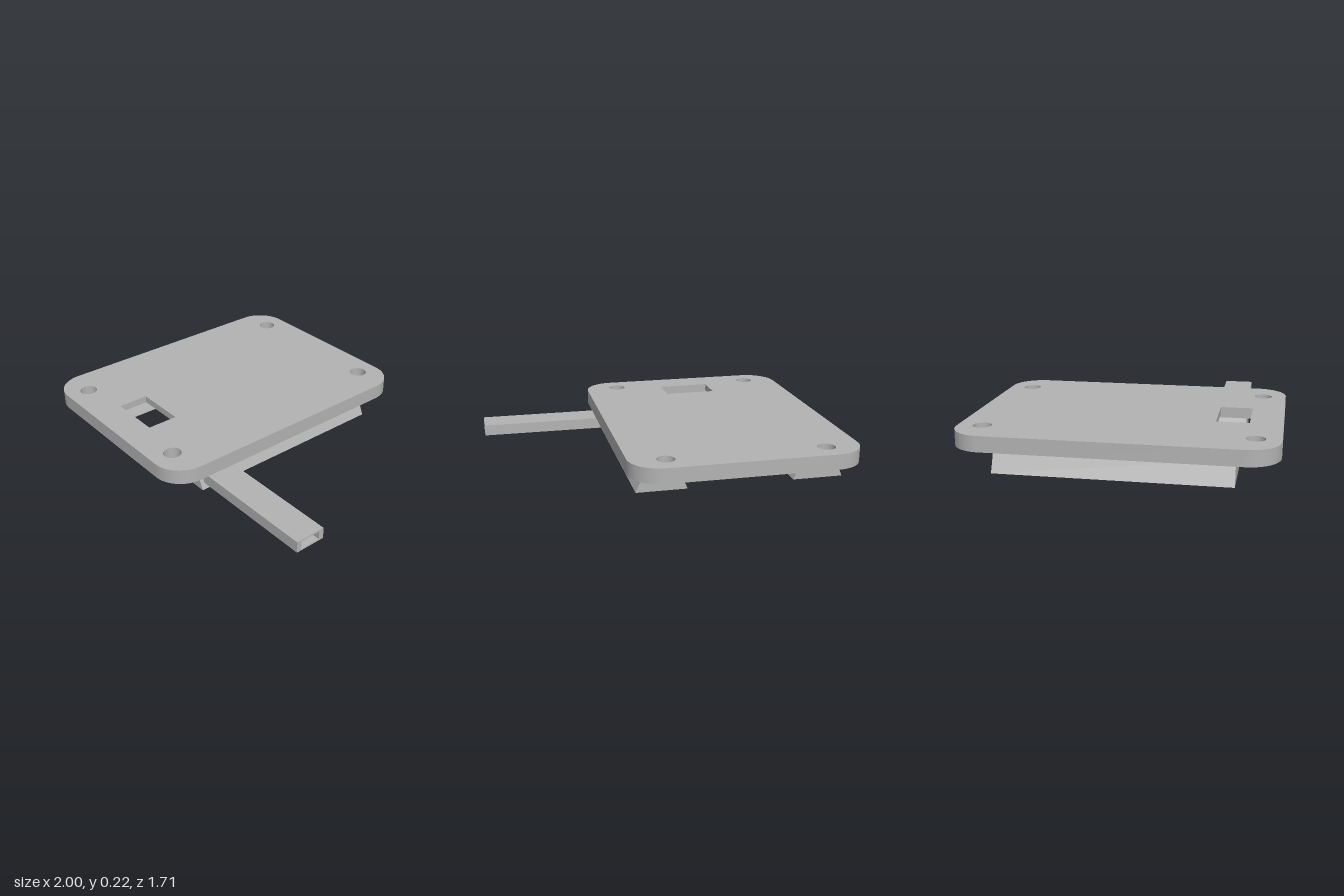
import * as THREE from 'three';
import { mergeGeometries, toCreasedNormals } from 'three/addons/utils/BufferGeometryUtils.js';

const PLATE = { x0: -1, x1: 0.304, z: 0.853, y0: 0.128, ledge: 0.173, y1: 0.215, r: 0.175 };
const WINDOW = [-0.51, -0.197, 0.492, 0.673]; // x0, x1, z0, z1
const RECESS = [-0.607, -0.1, 0.425, 0.742];

// Outlines are lists of (x, z) points, counter-clockwise as seen from above with z negated.
const rect = ([x0, x1, z0, z1]) =>
  [[x0, z1], [x1, z1], [x1, z0], [x0, z0]].map(([x, z]) => new THREE.Vector2(x, -z));

function circle(x, z, r, n = 32) {
  return Array.from({ length: n }, (_, i) => {
    const a = (i / n) * Math.PI * 2;
    return new THREE.Vector2(x + r * Math.cos(a), -z + r * Math.sin(a));
  });
}

function roundedOutline({ x0, x1, z, r }, n = 12) {
  const centres = [[x1 - r, z - r], [x0 + r, z - r], [x0 + r, r - z], [x1 - r, r - z]];
  return centres.flatMap(([cx, cy], k) => Array.from({ length: n + 1 }, (_, i) => {
    const a = (k + i / n) * Math.PI / 2;
    return new THREE.Vector2(cx + r * Math.cos(a), cy + r * Math.sin(a));
  }));
}

// Flat horizontal face with holes, facing up or down
function cap(outline, holes, y, up) {
  const flip = (pts) => pts.map((p) => new THREE.Vector2(p.x, up ? p.y : -p.y));
  const shape = new THREE.Shape(flip(outline));
  shape.holes = holes.map((h) => new THREE.Path(flip(h)));
  const g = new THREE.ShapeGeometry(shape).rotateX(up ? -Math.PI / 2 : Math.PI / 2);
  return g.translate(0, y, 0).toNonIndexed();
}

// Vertical wall along an outline, facing outwards or into a hole
function wall(outline, y0, y1, inward = false) {
  const pos = [], uv = [];
  outline.forEach((p, i) => {
    const q = outline[(i + 1) % outline.length];
    const [a, b] = inward ? [q, p] : [p, q];
    pos.push(a.x, y0, -a.y, b.x, y0, -b.y, b.x, y1, -b.y);
    pos.push(a.x, y0, -a.y, b.x, y1, -b.y, a.x, y1, -a.y);
    uv.push(0, 0, 1, 0, 1, 1, 0, 0, 1, 1, 0, 1);
  });
  const g = new THREE.BufferGeometry();
  g.setAttribute('position', new THREE.Float32BufferAttribute(pos, 3));
  g.setAttribute('uv', new THREE.Float32BufferAttribute(uv, 2));
  g.computeVertexNormals();
  return g;
}

function plateGeometry() {
  const { y0, ledge, y1 } = PLATE;
  const outline = roundedOutline(PLATE);
  const bolts = [-0.8, 0.1].flatMap((x) => [-0.72, 0.72].map((z) => circle(x, z, 0.051)));
  const opening = rect(WINDOW), recess = rect(RECESS);
  return toCreasedNormals(mergeGeometries([
    cap(outline, [...bolts, opening], y1, true),
    cap(outline, [...bolts, recess], y0, false),
    cap(recess, [opening], ledge, false),
    wall(outline, y0, y1),
    wall(opening, ledge, y1, true),
    wall(recess, y0, ledge, true),
    ...bolts.map((b) => wall(b, y0, y1, true)),
  ]), 0.5);
}

// Rail with a trapezoid cross-section, wider at the foot
function railGeometry(length) {
  const shape = new THREE.Shape([[-0.145, 0], [0.145, 0], [0.09, PLATE.y0], [-0.09, PLATE.y0]]
    .map(([x, y]) => new THREE.Vector2(x, y)));
  return new THREE.ExtrudeGeometry(shape, { depth: length, bevelEnabled: false })
    .translate(0, 0, -length / 2);
}

// Hollow rectangular arm running along x
function armGeometry(length) {
  const corners = (w, h) => [[-w, -h], [w, -h], [w, h], [-w, h]].map(([x, y]) => new THREE.Vector2(x, y));
  const shape = new THREE.Shape(corners(0.089, 0.033));
  shape.holes.push(new THREE.Path(corners(0.059, 0.025)));
  return new THREE.ExtrudeGeometry(shape, { depth: length, bevelEnabled: false })
    .rotateY(Math.PI / 2);
}

export function createModel() {
  const model = new THREE.Group();
  model.name = 'mountingPlate';
  const grey = new THREE.MeshStandardMaterial({ color: 0xb3b3b3 });
  grey.name = 'grey';

  const add = (name, geometry, x = 0, y = 0, z = 0) => {
    const mesh = new THREE.Mesh(geometry, grey);
    mesh.name = name;
    mesh.position.set(x, y, z);
    model.add(mesh);
  };

  add('plate', plateGeometry());
  const rail = railGeometry(1.26);
  add('rightRail', rail, -0.8);
  add('leftRail', rail, 0.1);
  add('hollowArm', armGeometry(0.8), 0.2, 0.066, 0.518);
  return model;
}
